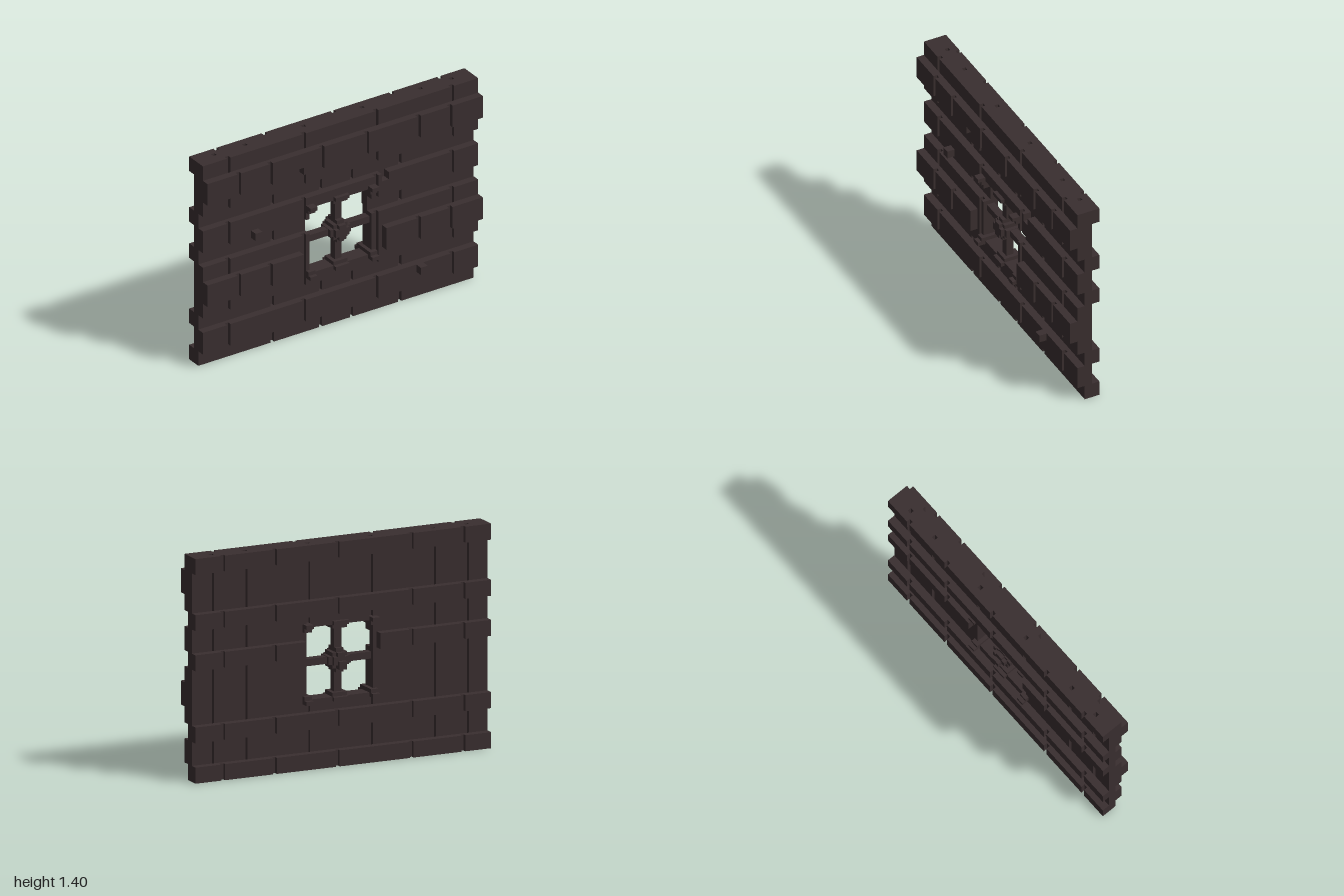
import * as THREE from 'three';
import { mergeGeometries } from 'three/addons/utils/BufferGeometryUtils.js';

const GROOVE = 0.025;
const mirror = (list) => list.flatMap((x) => [-x, x]);

// Centre positions of the vertical joints in each layer
const JOINTS = {
  none: [],
  backFace: [...mirror([0.8125, 0.4625]), 0.0375],
  coreBack: mirror([0.8625, 0.6375, 0.2125]),
  recess: mirror([0.4625, 0.1125]),
  coreFront: mirror([0.8125, 0.2625]),
  frontFace: mirror([0.7675, 0.5375, 0.1625]),
};

// Cut areas: [x0, x1, y0, y1]
const WINDOW = [-0.225, 0.225, 0.425, 0.875];
const FRONT_END = [-0.3, 0.3, 0.425, 0.875];
const BACK_END = [-0.25, 0.25, 0.425, 0.875];
const CORE_CHIP = [0.3, 0.35, 0.9, 0.95];
const FRONT_CHIP = [-0.35, -0.3, 1.15, 1.2];

// Stone courses: [y0, y1, profile]
const ROWS = [
  [0, 0.1, 'recessed'], [0.1, 0.25, 'core'], [0.25, 0.35, 'recessed'],
  [0.35, 0.45, 'core'], [0.45, 0.6, 'front'], [0.6, 0.7, 'core'],
  [0.7, 0.8, 'recessed'], [0.8, 0.95, 'core'], [0.95, 1.05, 'recessed'],
  [1.05, 1.15, 'core'], [1.15, 1.3, 'front'], [1.3, 1.4, 'top'],
];

function box(x0, x1, y0, y1, z0, z1) {
  return new THREE.BoxGeometry(x1 - x0, y1 - y0, z1 - z0)
    .translate((x0 + x1) / 2, (y0 + y1) / 2, (z0 + z1) / 2);
}

// One layer of a course, split by joints and cut areas
function layer(out, y0, y1, z0, z1, joints, cuts) {
  const inside = cuts.flatMap((c) => [c[2], c[3]]).filter((y) => y > y0 && y < y1);
  const ys = [...new Set([y0, ...inside, y1])].sort((a, b) => a - b);
  for (let i = 0; i < ys.length - 1; i++) {
    const mid = (ys[i] + ys[i + 1]) / 2;
    const gaps = joints.map((x) => [x - GROOVE / 2, x + GROOVE / 2]);
    for (const c of cuts) if (mid > c[2] && mid < c[3]) gaps.push([c[0], c[1]]);
    gaps.sort((a, b) => a[0] - b[0]);
    let x = -1;
    for (const [a, b] of [...gaps, [1, 1]]) {
      if (a > x + 1e-6) out.push(box(x, a, ys[i], ys[i + 1], z0, z1));
      x = Math.max(x, b);
    }
  }
}

function course([y0, y1, profile]) {
  const out = [];
  const add = (z0, z1, joints, ...cuts) => layer(out, y0, y1, z0, z1, JOINTS[joints], cuts);
  const recessed = profile === 'recessed';
  if (recessed || profile === 'top') {
    add(-0.1, -0.075, 'backFace', BACK_END);
    add(-0.075, -0.05, 'none', BACK_END);
  }
  add(-0.05, -0.025, 'coreBack', WINDOW);
  add(-0.025, 0, recessed ? 'recess' : 'none', WINDOW);
  if (!recessed) {
    add(0, 0.025, 'none', WINDOW, CORE_CHIP);
    add(0.025, 0.05, 'coreFront', WINDOW, CORE_CHIP);
  }
  if (profile === 'front') {
    add(0.05, 0.075, 'none', FRONT_END, FRONT_CHIP);
    add(0.075, 0.1, 'frontFace', FRONT_END, FRONT_CHIP);
  }
  return mergeGeometries(out);
}

export function createModel() {
  const group = new THREE.Group();
  const stone = new THREE.MeshStandardMaterial({ color: 0x392e2f });
  stone.name = 'dark stone';
  const add = (name, geometry) => {
    const mesh = new THREE.Mesh(geometry, stone);
    mesh.name = name;
    group.add(mesh);
  };

  ROWS.forEach((row, i) => add(`stoneCourse${i + 1}`, course(row)));

  // Loose stones standing out of the front
  add('looseStoneUpper', box(-0.65, -0.6, 0.8, 0.85, 0.05, 0.1));
  add('looseStoneLower', box(0.55, 0.6, 0.2, 0.25, 0.05, 0.1));

  // Window bars
  const cy = 0.65;
  add('uprightBar', box(-0.025, 0.025, 0.425, 0.875, -0.025, 0.025));
  add('crossBar', box(-0.225, 0.225, cy - 0.022, cy + 0.022, -0.025, 0.025));

  // Stepped boss where the bars cross: [half width, half height, half depth]
  const boss = [
    [0.075, 0.025, 0.05], [0.05, 0.05, 0.05], [0.025, 0.075, 0.05],
    [0.05, 0.025, 0.075], [0.025, 0.05, 0.075],
  ].map(([w, h, d]) => box(-w, w, cy - h, cy + h, -d, d));
  boss.push(box(-0.025, 0.025, 0.6, 0.65, -0.1, -0.05));
  add('centreBoss', mergeGeometries(boss));

  // Stepped ornaments at the window corners and at the ends of the upright bar
  for (const s of [-1, 1]) {
    const end = s > 0 ? 'Top' : 'Bottom';
    const block = (x0, x1, h0, h1, d) => {
      const a = cy + s * h0, b = cy + s * h1;
      return box(x0, x1, Math.min(a, b), Math.max(a, b), -d, d);
    };
    for (const m of [-1, 1]) {
      const side = (x0, x1, h0, h1, d) =>
        block(Math.min(m * x0, m * x1), Math.max(m * x0, m * x1), h0, h1, d);
      add(`corner${end}${m > 0 ? 'Left' : 'Right'}`, mergeGeometries([
        side(0.2, 0.225, 0.2, 0.225, 0.075),
        side(0.225, 0.25, 0.2, 0.225, 0.075),
        side(0.2, 0.25, 0.225, 0.25, 0.1),
      ]));
    }
    add(`barEnd${end}`, mergeGeometries([
      block(-0.05, 0.05, 0.2, 0.225, 0.05),
      block(-0.05, 0.05, 0.225, 0.25, 0.075),
    ]));
  }
  return group;
}
